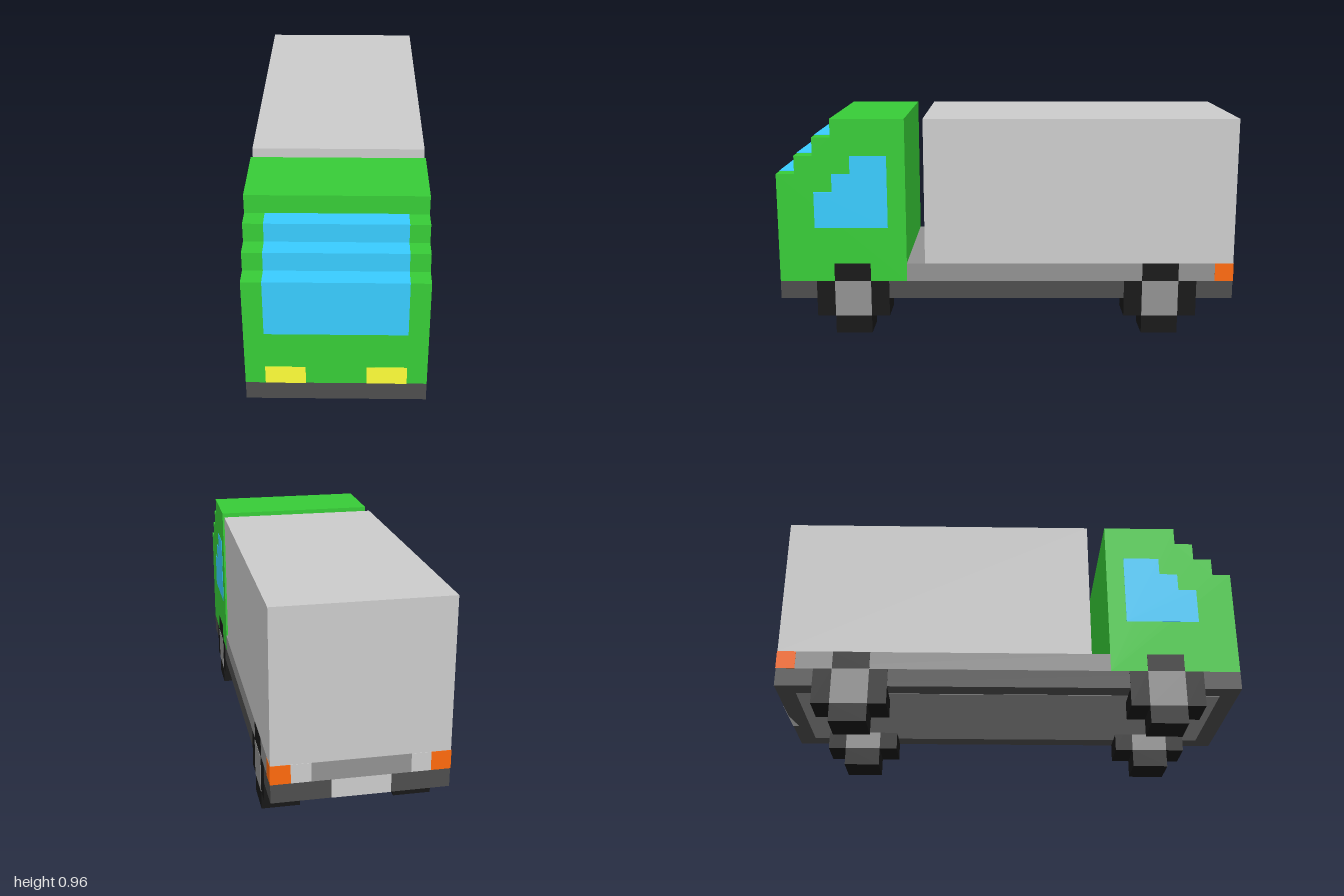
import * as THREE from 'three';

const U = 0.08;   // one block
const E = 0.02;   // tiny lift, in blocks, that keeps inlaid panels in front

const mat = (color) => new THREE.MeshStandardMaterial({ color, flatShading: true });

export function createModel() {
  const truck = new THREE.Group();
  truck.name = 'blockTruck';

  const cargoGrey = mat(0xcccccc), midGrey = mat(0x919191), darkGrey = mat(0x4d4d4d);
  const green = mat(0x37cc37), glass = mat(0x38ccff), black = mat(0x171717);
  const orange = mat(0xff6a0c), yellow = mat(0xffff38);

  // Box given by its limits in blocks
  function box(name, material, [x0, x1], [y0, y1], [z0, z1]) {
    const m = new THREE.Mesh(
      new THREE.BoxGeometry((x1 - x0) * U, (y1 - y0) * U, (z1 - z0) * U), material);
    m.position.set((x0 + x1) / 2 * U, (y0 + y1) / 2 * U, (z0 + z1) / 2 * U);
    m.name = name;
    truck.add(m);
    return m;
  }

  // Side profile of (z, y) points in blocks, extruded across x from x0 to x1
  function profile(name, material, points, x0, x1) {
    const shape = new THREE.Shape(points.map(([z, y]) => new THREE.Vector2(z * U, y * U)));
    const geo = new THREE.ExtrudeGeometry(shape, { depth: (x1 - x0) * U, bevelEnabled: false });
    geo.rotateY(-Math.PI / 2);
    geo.translate(x1 * U, 0, 0);
    const m = new THREE.Mesh(geo, material);
    m.name = name;
    truck.add(m);
    return m;
  }

  // Chassis, floor panel and load bed
  box('chassis', darkGrey, [-4.5, 4.5], [2, 3], [-12.5, 12.5]);
  box('floorPanel', midGrey, [-3.5, 3.5], [2 - E, 2.5], [-11.5, 11.5]);
  box('loadBed', midGrey, [-4.5, 4.5], [3, 4], [-12.5, 5.5]);

  // Cargo box
  box('cargoBox', cargoGrey, [-4.5, 4.5], [4, 12], [-12.5, 4.5]);

  // Stepped cab
  profile('cab', green, [
    [5.5, 3], [12.5, 3], [12.5, 9], [11.5, 9], [11.5, 10], [10.5, 10],
    [10.5, 11], [9.5, 11], [9.5, 12], [5.5, 12],
  ], -4.5, 4.5);

  // Windscreen following the steps
  profile('windscreen', glass, [
    [9, 6], [12.5 + E, 6], [12.5 + E, 9 + E], [11.5 + E, 9 + E], [11.5 + E, 10 + E],
    [10.5 + E, 10 + E], [10.5 + E, 11 + E], [9, 11 + E],
  ], -3.5, 3.5);

  // Stepped side windows, running through the cab
  profile('sideWindows', glass, [
    [6.5, 6], [10.5, 6], [10.5, 8], [9.5, 8], [9.5, 9], [8.5, 9], [8.5, 10], [6.5, 10],
  ], -4.5 - E, 4.5 + E);

  // Rear bumper bar and plate
  box('rearBar', midGrey, [-2.5, 2.5], [3, 4], [-12.5 - E, -12]);
  box('rearPlate', cargoGrey, [-1.5, 1.5], [2, 3], [-12.5 - E, -12]);

  for (const s of [-1, 1]) {
    const span = (a, b) => (s > 0 ? [a, b] : [-b, -a]);
    box('headlight', yellow, span(1.5, 3.5), [3, 4], [12, 12.5 + E]);
    box('tailLight', orange, span(3.5, 4.5 + E), [3, 4], [-12.5 - E, -11.5]);
    box('rearPanel', cargoGrey, span(2.5, 3.5), [3, 4], [-12.5 - E, -12]);

    // Wheels: a cross of blocks with a square hub
    for (const z of [-8.5, 8.5]) {
      const [x0, x1] = span(2.5, 4.5 + E);
      profile('tyre', black, [
        [-1, 0], [1, 0], [1, 1], [2, 1], [2, 3], [1, 3],
        [1, 4], [-1, 4], [-1, 3], [-2, 3], [-2, 1], [-1, 1],
      ].map(([dz, y]) => [z + dz, y]), x0, x1);
      box('wheelHub', midGrey, span(2.5 - E, 4.5 + 2 * E), [1, 3], [z - 1, z + 1]);
    }
  }

  return truck;
}
